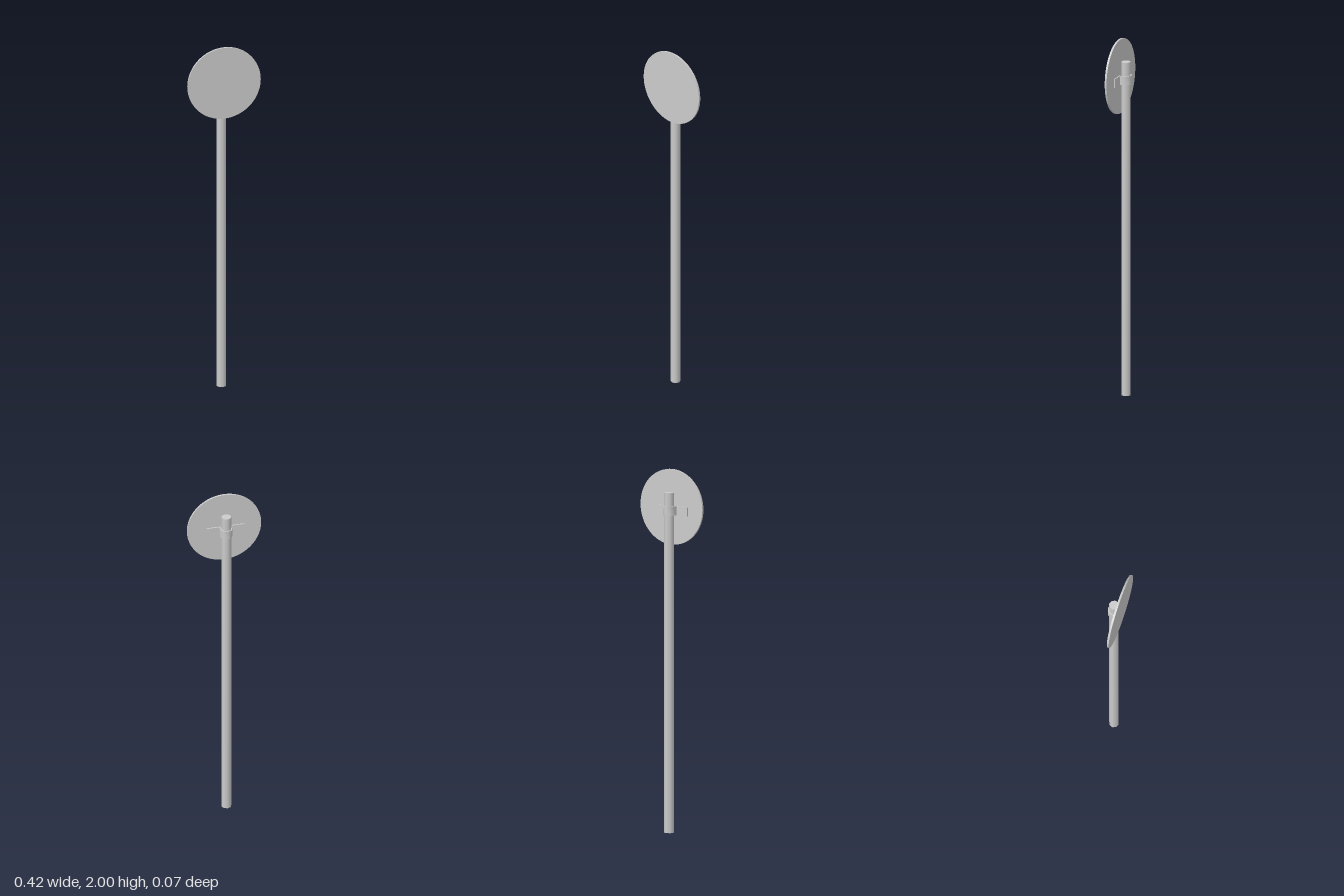
import * as THREE from 'three';
import { toCreasedNormals } from 'three/addons/utils/BufferGeometryUtils.js';

export function createModel() {
  const group = new THREE.Group();
  const material = new THREE.MeshStandardMaterial({ color: 0xcccccc });
  const poleX = -0.005, poleZ = -0.0045, poleRadius = 0.0275, poleHeight = 1.875;

  const add = (name, geometry, x, y, z) => {
    const mesh = new THREE.Mesh(geometry, material);
    mesh.name = name;
    mesh.position.set(x, y, z);
    group.add(mesh);
  };

  // Eight-sided post standing on the ground
  add('pole', new THREE.CylinderGeometry(poleRadius, poleRadius, poleHeight, 8),
    poleX, poleHeight / 2, poleZ);

  // Thin round plate facing forward
  const plate = new THREE.CylinderGeometry(0.208, 0.208, 0.011, 64);
  plate.rotateX(Math.PI / 2);
  add('signPlate', plate, 0, 1.792, 0.0285);

  // Strap bent around the back of the pole, with a flange on each side.
  // Half outline as (x, distance behind the pole axis), mirrored for the other side.
  const outer = [[0.106, -0.0275], [0.106, -0.0205], [0.033, -0.0205], [0.034, 0], [0.0245, 0.0245], [0, 0.0345]];
  const inner = [[0, poleRadius], [0.0195, 0.0195], [0.0275, 0], [0.027, -0.0275]];
  const mirror = (points) => points.filter(([x]) => x > 0).reverse().map(([x, y]) => [-x, y]);
  const outline = [...outer, ...mirror(outer), ...mirror(inner), ...inner]
    .map(([x, y]) => new THREE.Vector2(x, y));
  // The inner edge runs from the left flange back to the right one
  const outerCount = outer.length * 2 - 1;
  const innerEdge = outline.slice(outerCount).sort((a, b) => a.x - b.x || a.y - b.y);
  const left = innerEdge.filter((p) => p.x < 0).sort((a, b) => a.y - b.y);
  const right = innerEdge.filter((p) => p.x > 0).sort((a, b) => b.y - a.y);
  const top = innerEdge.filter((p) => p.x === 0);
  const shape = new THREE.Shape([...outline.slice(0, outerCount), ...left, ...top, ...right]);
  const strap = new THREE.ExtrudeGeometry(shape, { depth: 0.05, bevelEnabled: false });
  strap.rotateX(-Math.PI / 2);
  add('bracket', toCreasedNormals(strap, 0.9), poleX, 1.75, poleZ);

  return group;
}
